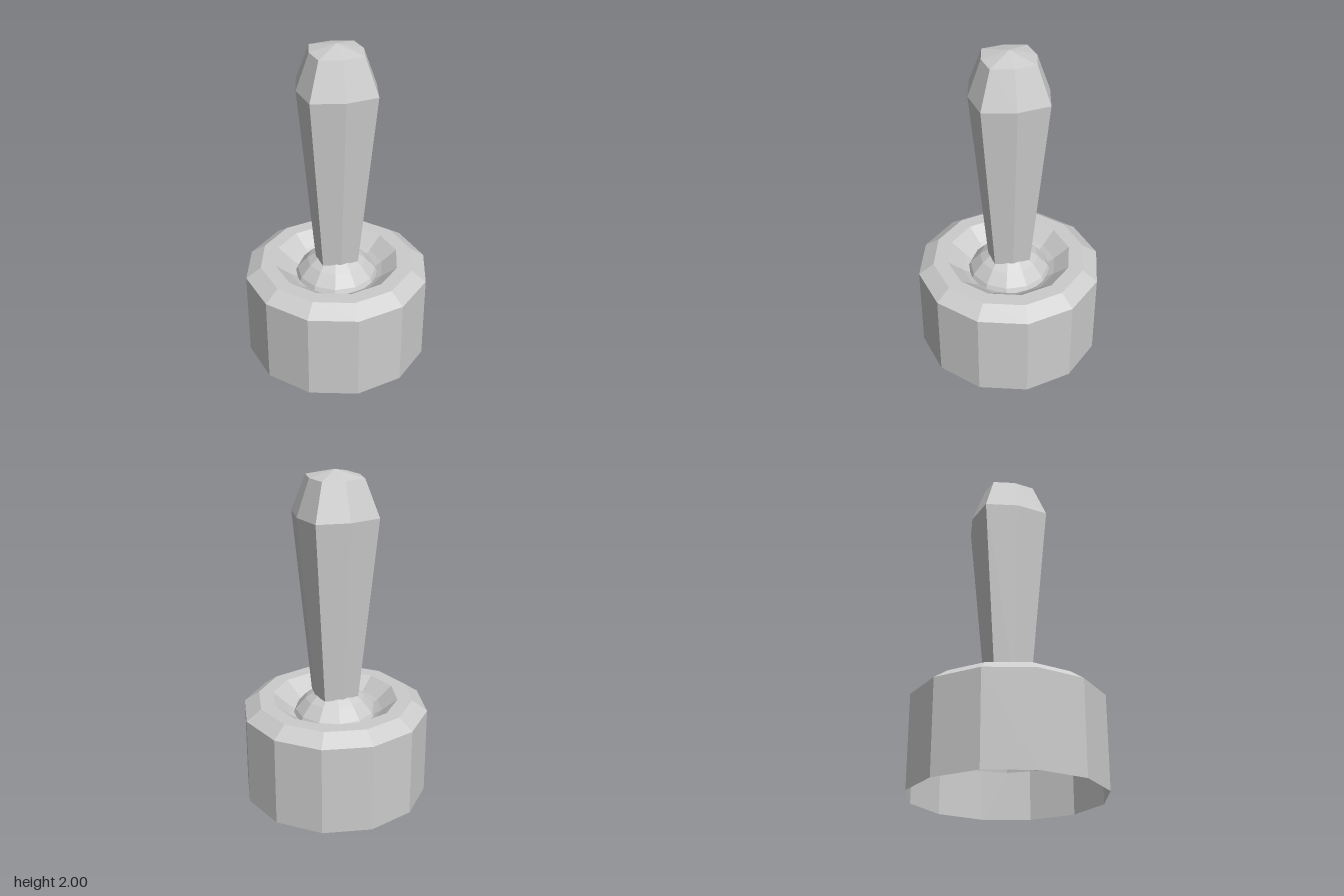
import * as THREE from 'three';

const grey = new THREE.MeshStandardMaterial({ color: 0xcccccc, flatShading: true, side: THREE.DoubleSide });
grey.name = 'plain grey';

// Faceted turned part from [radius, height] pairs, listed bottom to top
function turned(name, profile, sides, startAngle = 0) {
  const points = profile.map(([r, y]) => new THREE.Vector2(r, y));
  const mesh = new THREE.Mesh(new THREE.LatheGeometry(points, sides, startAngle), grey);
  mesh.name = name;
  return mesh;
}

export function createModel() {
  const group = new THREE.Group();
  group.name = 'controlStick';

  // Open-bottomed housing: wall, bevel, flat rim and sunken dish
  group.add(turned('housing', [
    [0.565, 0], [0.565, 0.545], [0.473, 0.61], [0.383, 0.61], [0.29, 0.535], [0.24, 0.505],
  ], 12));

  // Hollow pivot dome rising through the dish
  group.add(turned('pivotDome', [
    [0.33, 0.23], [0.31, 0.37], [0.262, 0.495], [0.242, 0.54], [0.18, 0.61], [0.125, 0.65], [0, 0.66],
  ], 12, Math.PI / 12));

  // Handle: a tapered square grip with bowed sides and a low pointed cap
  const handle = turned('handle', [
    [0.13, 0.64], [0.23, 1.745], [0.153, 1.96], [0, 2],
  ], 8);
  const pos = handle.geometry.attributes.position;
  for (let i = 0; i < pos.count; i++) {
    const x = pos.getX(i), z = pos.getZ(i);
    // Push the four diagonal edges outward
    if (Math.abs(x) > 0.01 && Math.abs(z) > 0.01) pos.setXYZ(i, x * 1.18, pos.getY(i), z * 1.18);
  }
  handle.geometry.computeVertexNormals();
  group.add(handle);

  return group;
}
